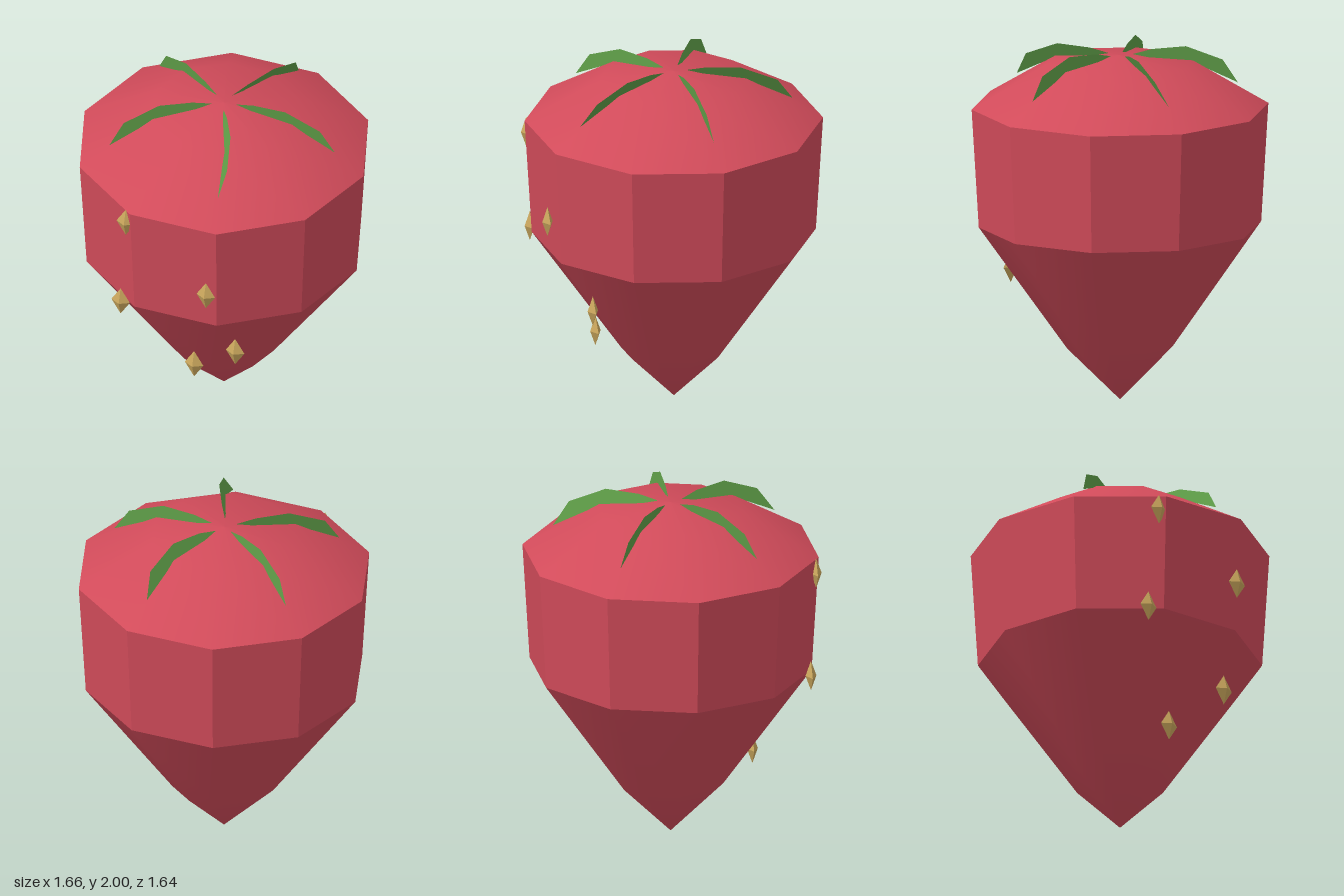
import * as THREE from 'three';

const red = new THREE.MeshStandardMaterial({ color: 0xd14b5a });
red.name = 'berryRed';
const green = new THREE.MeshStandardMaterial({ color: 0x5f9e48, side: THREE.DoubleSide });
green.name = 'leafGreen';
const gold = new THREE.MeshStandardMaterial({ color: 0xc9a65c });
gold.name = 'seedGold';

const SIDES = 10;
const START = Math.PI / 10; // puts a corner on the +x axis
const AXIS_Z = -0.03;

function add(parent, name, geometry, material) {
  const mesh = new THREE.Mesh(geometry, material);
  mesh.name = name;
  parent.add(mesh);
  return mesh;
}

// Smooth ten-sided shell from [radius, height] pairs, bottom to top
function shell(profile) {
  const points = profile.map(([r, y]) => new THREE.Vector2(r, y));
  return new THREE.LatheGeometry(points, SIDES, START, Math.PI * 2);
}

// Thin upright arched blade; lean pushes its crest sideways
function leafGeometry(lean) {
  const outline = [
    [0.07, 1.965], [0.18, 1.99], [0.37, 2.0], [0.575, 1.92],
    [0.66, 1.79], [0.41, 1.91], [0.2, 1.935],
  ].map(([x, y]) => new THREE.Vector2(x, y));
  const geometry = new THREE.ShapeGeometry(new THREE.Shape(outline));
  const p = geometry.attributes.position;
  for (let i = 0; i < p.count; i++) {
    const chord = 1.965 - (p.getX(i) - 0.07) * 0.297;
    p.setZ(i, lean * (p.getY(i) - chord));
  }
  geometry.computeVertexNormals();
  return geometry;
}

export function createModel() {
  const model = new THREE.Group();
  model.name = 'strawberry';

  // Body: smooth pointed base, faceted band, smooth domed cap
  const body = new THREE.Group();
  body.name = 'body';
  body.position.z = AXIS_Z;
  model.add(body);
  add(body, 'lowerBody', shell([[0, 0.005], [0.295, 0.3], [0.79, 1.0]]), red);
  const band = new THREE.CylinderGeometry(0.83, 0.79, 0.67, SIDES, 1, true, START).toNonIndexed();
  band.computeVertexNormals();
  add(body, 'middleBand', band, red).position.y = 1.335;
  add(body, 'topCap', shell([[0.83, 1.67], [0.41, 1.92], [0, 1.96]]), red);

  // Five leaves around the crown
  const leaves = new THREE.Group();
  leaves.name = 'leaves';
  leaves.position.z = AXIS_Z;
  model.add(leaves);
  [0.1, 0.45, -0.1, 0.1, -0.45].forEach((lean, i) => {
    add(leaves, 'leaf', leafGeometry(lean), green).rotation.y = (i * Math.PI * 2) / 5;
  });

  // Diamond seeds scattered on the front
  const seed = new THREE.OctahedronGeometry(1).scale(0.055, 0.088, 0.031);
  for (const [x, y, z] of [
    [-0.29, 1.59, 0.738], [0.207, 1.25, 0.79], [-0.335, 1.0, 0.7],
    [0.29, 0.71, 0.552], [0, 0.46, 0.433],
  ]) {
    add(model, 'seed', seed, gold).position.set(x, y, z);
  }

  return model;
}
